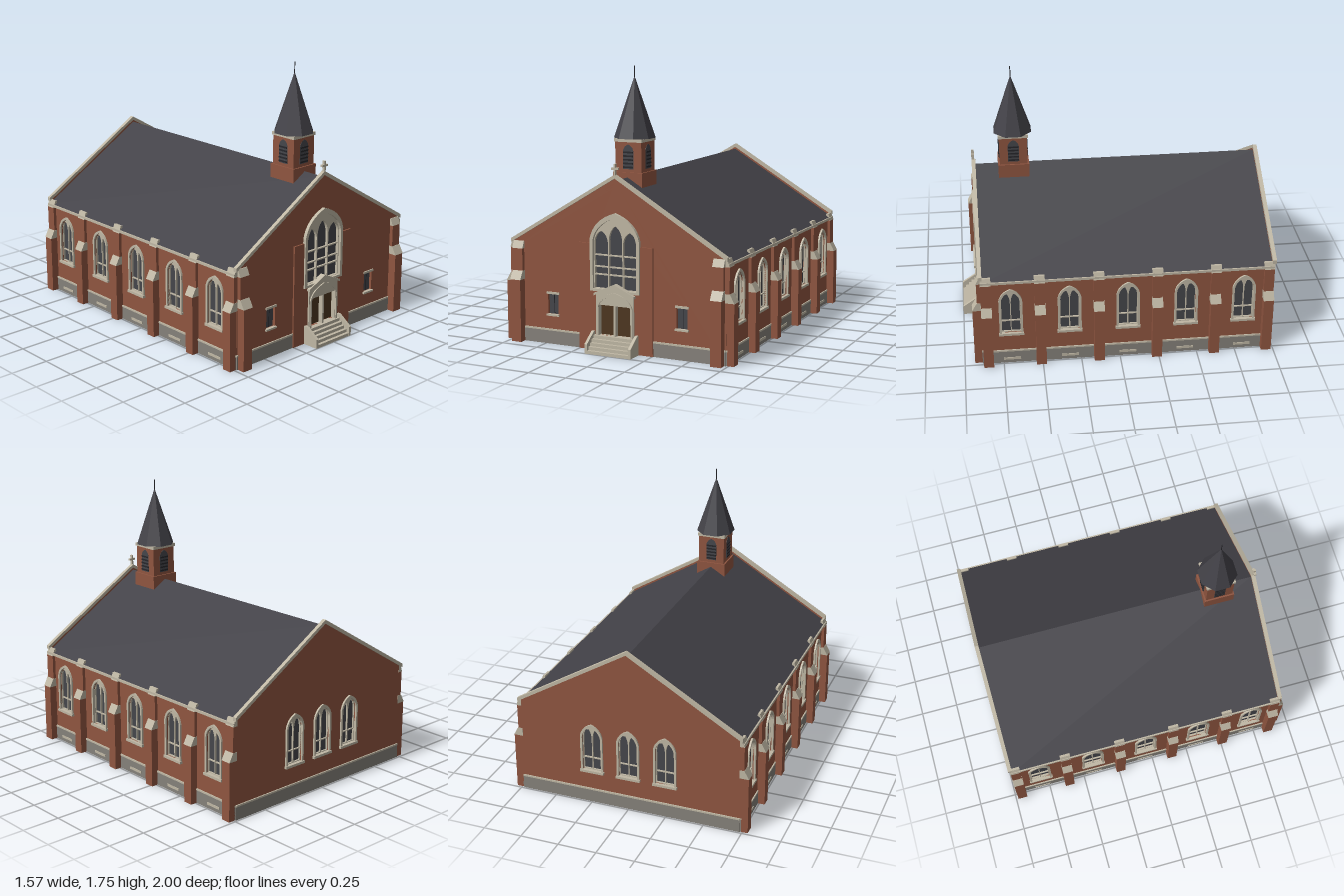
import * as THREE from 'three';

const mat = (name, color) => {
  const m = new THREE.MeshStandardMaterial({ color });
  m.name = name;
  return m;
};

export function createModel() {
  const brick = mat('brick', 0x8f5540), stone = mat('stone', 0xbfb7a4);
  const slate = mat('slate', 0x424147), glass = mat('glass', 0x45464b);
  const plinthGrey = mat('plinthGrey', 0x85817a), wood = mat('wood', 0x4d3620);
  const dark = mat('louvreDark', 0x26262a);
  const model = new THREE.Group();
  model.name = 'church';

  const WALL = 0.04, HALF = 0.735, FRONT = 0.88, BACK = -0.985;

  // ---- helpers ----
  const add = (parent, name, geo, material) => {
    const mesh = new THREE.Mesh(geo, material);
    mesh.name = name;
    parent.add(mesh);
    return mesh;
  };
  const box = (parent, name, material, x0, x1, y0, y1, z0, z1) =>
    add(parent, name, new THREE.BoxGeometry(x1 - x0, y1 - y0, z1 - z0)
      .translate((x0 + x1) / 2, (y0 + y1) / 2, (z0 + z1) / 2), material);
  const poly = (pts) => new THREE.Shape(pts.map(([x, y]) => new THREE.Vector2(x, y)));
  const rect = (x0, x1, y0, y1) => poly([[x0, y0], [x1, y0], [x1, y1], [x0, y1]]);
  // Pointed arch outline centred on x = c
  const arch = (c, w, y0, spring, apex) => {
    const s = new THREE.Shape(), k = spring + (apex - spring) * 0.72;
    s.moveTo(c - w, y0);
    s.lineTo(c + w, y0);
    s.lineTo(c + w, spring);
    s.quadraticCurveTo(c + w * 0.85, k, c, apex);
    s.quadraticCurveTo(c - w * 0.85, k, c - w, spring);
    s.closePath();
    return s;
  };
  const slab = (parent, name, material, shape, z0, z1, holes = []) => {
    shape.holes = holes;
    return add(parent, name, new THREE.ExtrudeGeometry(shape,
      { depth: z1 - z0, bevelEnabled: false, curveSegments: 8 }).translate(0, 0, z0), material);
  };
  // Profile given as (outward, y), swept across width w around x = u
  const sweep = (parent, name, material, u, w, pts) =>
    add(parent, name, new THREE.ExtrudeGeometry(poly(pts), { depth: w, bevelEnabled: false })
      .rotateY(-Math.PI / 2).translate(u + w / 2, 0, 0), material);
  // Each facade is drawn with its outer face at local z = 0
  const facade = (name, x, z, turn) => {
    const g = new THREE.Group();
    g.name = name;
    g.position.set(x, 0, z);
    g.rotation.y = turn;
    model.add(g);
    return g;
  };

  // ---- repeated parts ----
  const windowHole = (u) => arch(u, 0.062, 0.23, 0.465, 0.54);
  const lancetWindow = (parent, u) => {
    slab(parent, 'windowFrame', stone, arch(u, 0.075, 0.225, 0.47, 0.557), -0.01, 0.012, [windowHole(u)]);
    slab(parent, 'windowTracery', stone, arch(u, 0.063, 0.229, 0.466, 0.542), -0.018, -0.006,
      [-1, 1].map((s) => arch(u + s * 0.0305, 0.0275, 0.235, 0.455, 0.525)));
    box(parent, 'windowBar', stone, u - 0.06, u + 0.06, 0.31, 0.317, -0.018, -0.008);
    slab(parent, 'windowGlass', glass, arch(u, 0.064, 0.228, 0.467, 0.543), -0.032, -0.02);
    box(parent, 'windowSill', stone, u - 0.08, u + 0.08, 0.214, 0.23, -0.01, 0.018);
  };
  const buttress = (parent, u, w, d1, d2, lift = 0) => {
    const a = 0.38 + lift, b = 0.435 + lift;
    sweep(parent, 'buttressBase', brick, u, w, [[-0.01, 0], [d1, 0], [d1, a], [-0.01, a]]);
    sweep(parent, 'buttressLowerCap', stone, u, w + 0.004, [[-0.01, a], [d1 + 0.002, a], [d2 + 0.002, b], [-0.01, b]]);
    sweep(parent, 'buttressShaft', brick, u, w, [[-0.01, b], [d2, b], [d2, 0.6], [-0.01, 0.6]]);
    sweep(parent, 'buttressUpperCap', stone, u, w + 0.004, [[-0.01, 0.597], [d2 + 0.002, 0.597], [0.005, 0.643], [-0.01, 0.643]]);
  };
  const plinth = (parent, x0, x1) => {
    box(parent, 'plinth', plinthGrey, x0, x1, 0, 0.085, -0.01, 0.006);
    box(parent, 'plinthCap', stone, x0, x1, 0.085, 0.096, -0.01, 0.008);
  };
  const chevron = (x, top, thick) => poly([[x, top - 0.6 * x], [0, top], [-x, top - 0.6 * x],
    [-x, top - 0.6 * x - thick], [0, top - thick], [x, top - 0.6 * x - thick]]);
  const gable = (parent, holes) => {
    slab(parent, 'gableWall', brick, poly([[-HALF, 0], [HALF, 0], [HALF, 0.615], [0, 1.056], [-HALF, 0.615]]), -WALL, 0, holes);
    slab(parent, 'parapet', brick, chevron(HALF, 1.085, 0.06), -0.012, 0);
    slab(parent, 'coping', stone, chevron(0.745, 1.103, 0.024), -0.013, 0.012);
  };

  // ---- side walls ----
  for (const s of [1, -1]) {
    const side = facade(s > 0 ? 'leftSide' : 'rightSide', s * HALF, 0, s * Math.PI / 2);
    const U = (z) => -s * z;
    const bays = [0.695, 0.322, -0.051, -0.424, -0.797].map(U);
    const ends = [U(FRONT - WALL), U(BACK + WALL)].sort((a, b) => a - b);
    slab(side, 'sideWall', brick, rect(ends[0], ends[1], 0, 0.615), -WALL, 0, bays.map(windowHole));
    const full = [U(FRONT), U(BACK)].sort((a, b) => a - b);
    plinth(side, full[0], full[1]);
    box(side, 'gutter', stone, full[0], full[1], 0.602, 0.618, -0.005, 0.019);
    for (const u of bays) {
      lancetWindow(side, u);
      box(side, 'vent', stone, u - 0.055, u + 0.055, 0.024, 0.04, 0, 0.01);
    }
    for (const z of [0.847, 0.509, 0.136, -0.237, -0.61, -0.953]) buttress(side, U(z), 0.064, 0.05, 0.02);
  }

  // ---- back ----
  const back = facade('back', 0, BACK, Math.PI);
  const backBays = [-0.245, 0, 0.245];
  gable(back, backBays.map(windowHole));
  plinth(back, -HALF, HALF);
  backBays.forEach((u) => lancetWindow(back, u));

  // ---- front ----
  const front = facade('front', 0, FRONT, 0);
  const bigHole = () => arch(0, 0.15, 0.39, 0.69, 0.835);
  const doorHole = () => rect(-0.115, 0.115, 0.1, 0.34);
  const smallHole = (u) => rect(u - 0.037, u + 0.037, 0.19, 0.325);
  gable(front, [bigHole(), doorHole(), smallHole(-0.447), smallHole(0.447)]);
  slab(front, 'entranceBay', brick, poly([[-0.255, 0], [0.255, 0], [0.255, 0.67], [0.155, 0.67],
    [0.155, 0.385], [-0.155, 0.385], [-0.155, 0.67], [-0.255, 0.67]]), 0, 0.011, [doorHole()]);
  for (const s of [-1, 1]) {
    plinth(front, s > 0 ? 0.256 : -HALF, s > 0 ? HALF : -0.256);
    buttress(front, s * 0.69, 0.07, 0.055, 0.024, 0.02);
    // Small rectangular windows
    const u = s * 0.447;
    box(front, 'smallWindowGlass', glass, u - 0.038, u + 0.038, 0.189, 0.326, -0.03, -0.018);
    box(front, 'smallWindowMullion', dark, u - 0.002, u + 0.002, 0.19, 0.325, -0.018, -0.014);
    box(front, 'smallWindowLintel', stone, u - 0.045, u + 0.045, 0.32, 0.334, -0.01, 0.008);
    box(front, 'smallWindowSill', stone, u - 0.045, u + 0.045, 0.18, 0.192, -0.01, 0.012);
  }

  // Great window
  slab(front, 'greatWindowFrame', stone, arch(0, 0.17, 0.375, 0.7, 0.867), -0.01, 0.022, [bigHole()]);
  slab(front, 'greatWindowTracery', stone, arch(0, 0.152, 0.388, 0.691, 0.838), -0.015, 0.004,
    [[-0.099, 0.685, 0.75], [0, 0.7, 0.785], [0.099, 0.685, 0.75]].map(([c, sp, ap]) => arch(c, 0.046, 0.392, sp, ap)));
  for (const y of [0.478, 0.527, 0.6])
    box(front, 'greatWindowBar', stone, -0.148, 0.148, y - 0.004, y + 0.004, -0.014, 0);
  slab(front, 'greatWindowGlass', glass, arch(0, 0.153, 0.387, 0.692, 0.839), -0.03, -0.017);

  // Portal and doors
  slab(front, 'portal', stone, poly([[-0.13, 0.09], [0.13, 0.09], [0.13, 0.36], [0, 0.42], [-0.13, 0.36]]), -0.01, 0.022,
    [rect(-0.11, -0.007, 0.1, 0.292), rect(0.007, 0.11, 0.1, 0.292)]);
  slab(front, 'portalArch', stone, arch(0, 0.124, 0.1, 0.285, 0.375), 0.02, 0.03, [arch(0, 0.112, 0.1, 0.28, 0.36)]);
  slab(front, 'portalGable', stone, poly([[-0.138, 0.365], [0, 0.428], [0.138, 0.365], [0.138, 0.35], [0, 0.413], [-0.138, 0.35]]), -0.005, 0.034);
  for (const s of [-1, 1])
    box(front, 'door', wood, s > 0 ? 0.004 : -0.113, s > 0 ? 0.113 : -0.004, 0.1, 0.338, -0.03, -0.011);

  // Steps with sloping cheek walls
  for (let i = 0; i < 5; i++)
    box(front, 'step', stone, -0.142, 0.142, 0.02 * i, 0.02 * (i + 1), 0.005, 0.119 - 0.02 * i);
  for (const s of [-1, 1])
    sweep(front, 'stepCheek', stone, s * 0.15, 0.018, [[0, 0], [0.12, 0], [0.12, 0.06], [0.03, 0.122], [0, 0.122]]);

  // Gable cross
  box(front, 'crossUpright', stone, -0.006, 0.006, 1.09, 1.168, -0.006, 0.012);
  box(front, 'crossArm', stone, -0.024, 0.024, 1.132, 1.145, -0.006, 0.012);

  // ---- roof ----
  slab(model, 'roof', slate, chevron(0.75, 1.065, 0.012), BACK + 0.011, FRONT - 0.011);

  // ---- bell tower ----
  const tower = new THREE.Group();
  tower.name = 'bellTower';
  tower.position.z = 0.62;
  model.add(tower);
  box(tower, 'towerBase', brick, -0.1, 0.1, 1.0, 1.095, -0.1, 0.1);
  box(tower, 'towerShaft', brick, -0.09, 0.09, 1.09, 1.285, -0.09, 0.09);
  box(tower, 'towerCornice', stone, -0.096, 0.096, 1.282, 1.303, -0.096, 0.096);
  for (let i = 0; i < 4; i++) {
    const face = new THREE.Group();
    face.name = 'belfryOpening';
    face.rotation.y = i * Math.PI / 2;
    tower.add(face);
    slab(face, 'belfryPanel', glass, arch(0, 0.036, 1.115, 1.225, 1.268), 0.088, 0.092);
    for (let k = 0; k < 5; k++)
      box(face, 'louvre', dark, -0.034, 0.034, 1.122 + k * 0.023, 1.132 + k * 0.023, 0.09, 0.096);
  }
  const spireMat = slate.clone();
  spireMat.flatShading = true;
  spireMat.name = 'spireSlate';
  add(tower, 'spire', new THREE.CylinderGeometry(0.002, 0.13, 0.375, 8).rotateY(Math.PI / 8).translate(0, 1.49, 0), spireMat);
  add(tower, 'finial', new THREE.CylinderGeometry(0.003, 0.003, 0.085, 6).translate(0, 1.7025, 0), dark);

  return model;
}
